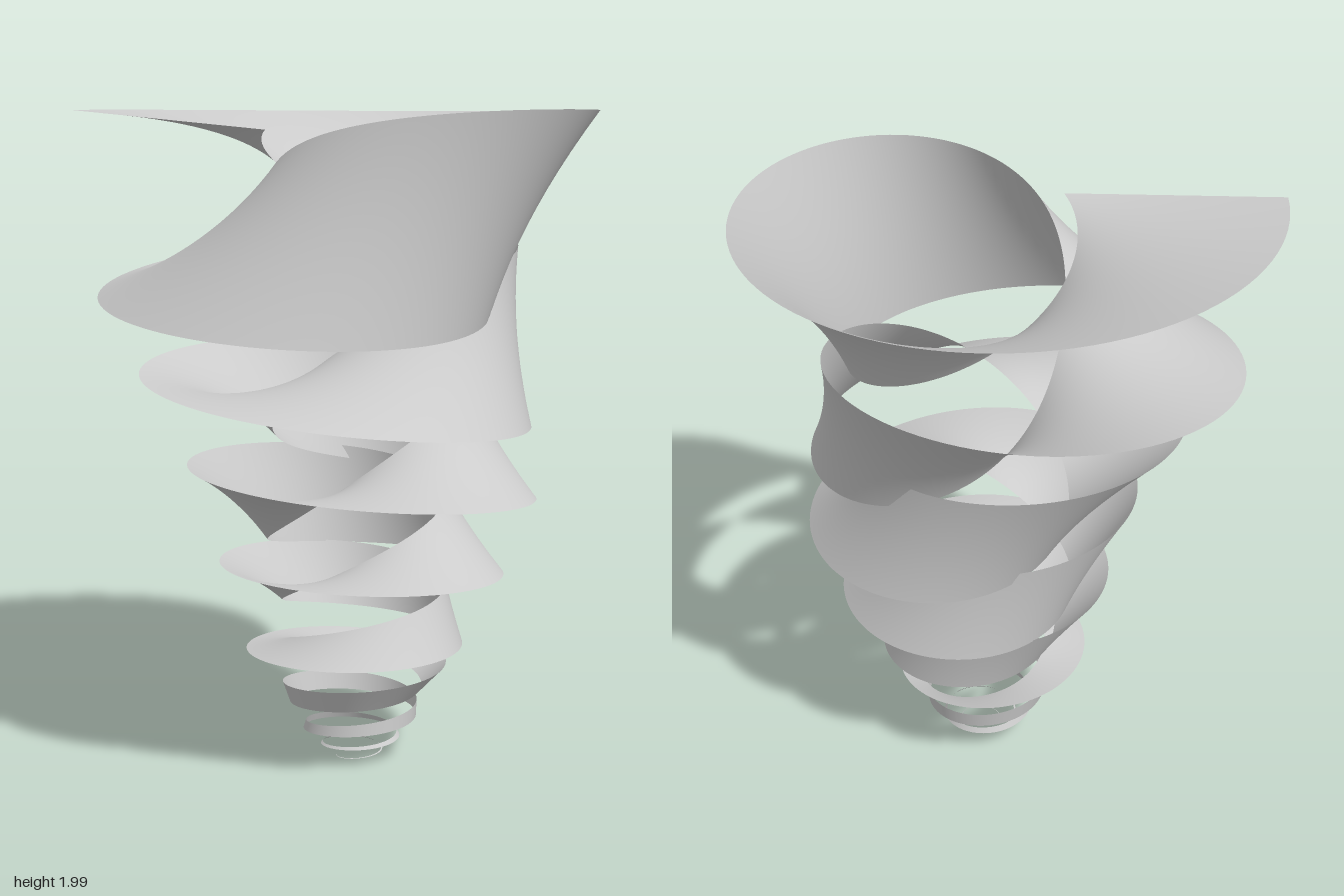
import * as THREE from 'three';
import { ParametricGeometry } from 'three/addons/geometries/ParametricGeometry.js';

// Spiral axis and the direction in which the ribbon's top end points
const AXIS = { x: 0.125, z: 0.055 };
const START = THREE.MathUtils.degToRad(149);
const TURNS = 9;

// One row per half turn, from the top down:
// spine radius, spine height, ribbon half width, twist in degrees
const KEYS = [
  [0.57, 1.96, 0.328, 5],
  [0.54, 1.712, 0.327, 58],
  [0.523, 1.565, 0.292, 156],
  [0.485, 1.31, 0.243, 276],
  [0.45, 1.14, 0.213, 384],
  [0.43, 0.985, 0.19, 486],
  [0.385, 0.815, 0.17, 588],
  [0.36, 0.7, 0.14, 670],
  [0.32, 0.565, 0.115, 757],
  [0.3, 0.455, 0.088, 828],
  [0.27, 0.363, 0.068, 890],
  [0.24, 0.265, 0.05, 942],
  [0.215, 0.21, 0.034, 972],
  [0.187, 0.155, 0.023, 988],
  [0.158, 0.105, 0.013, 1008],
  [0.13, 0.07, 0.008, 1025],
  [0.105, 0.045, 0.004, 1040],
  [0.08, 0.022, 0.002, 1050],
  [0.06, 0.002, 0.001, 1060],
];

// Smooth interpolation of one column of the key rows
const column = (i) => new THREE.SplineCurve(KEYS.map((row, k) => new THREE.Vector2(k, row[i])));
const [radius, height, halfWidth, twist] = [0, 1, 2, 3].map(column);

// u runs down the conical spiral, v runs across the twisting ribbon
function ribbonPoint(u, v, target) {
  const angle = START + u * TURNS * Math.PI * 2;
  const r = radius.getPoint(u).y;
  const roll = THREE.MathUtils.degToRad(twist.getPoint(u).y);
  const offset = (1 - 2 * v) * halfWidth.getPoint(u).y;

  // the ribbon's cross line leans off the radius near the top end
  const lean = 0.35 * Math.max(0, 1 - (u * TURNS) / 2);
  const across = offset * Math.cos(roll);
  target.set(
    AXIS.x + r * Math.cos(angle) + across * Math.cos(angle + lean),
    height.getPoint(u).y + offset * Math.sin(roll),
    AXIS.z + r * Math.sin(angle) + across * Math.sin(angle + lean)
  );
}

export function createModel() {
  const group = new THREE.Group();
  group.name = 'twistedSpiral';

  // Single ribbon winding down to a point, rolling about its own spine
  const ribbon = new THREE.Mesh(
    new ParametricGeometry(ribbonPoint, 1000, 14),
    new THREE.MeshStandardMaterial({ color: 0xcccccc, side: THREE.DoubleSide })
  );
  ribbon.name = 'spiralRibbon';
  group.add(ribbon);
  return group;
}
